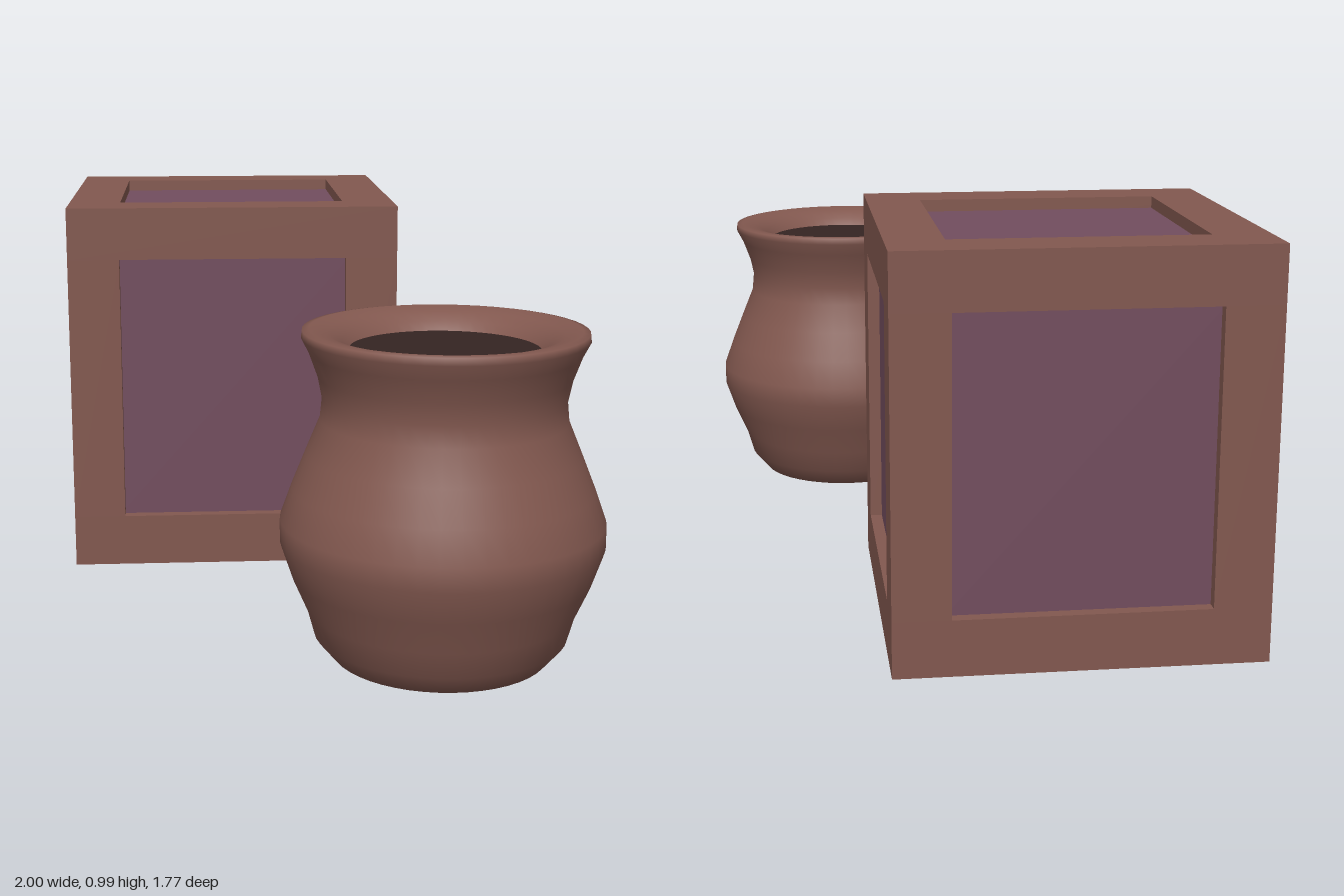
import * as THREE from 'three';

const wood = new THREE.MeshStandardMaterial({ color: 0x82584f });
wood.name = 'brown wood and clay';
const plum = new THREE.MeshStandardMaterial({ color: 0x724d5e });
plum.name = 'plum panel';
const dark = new THREE.MeshStandardMaterial({ color: 0x352422 });
dark.name = 'dark interior';

function box(parent, name, size, pos, material) {
  const mesh = new THREE.Mesh(new THREE.BoxGeometry(...size), material);
  mesh.position.set(...pos);
  mesh.name = name;
  parent.add(mesh);
}

// Crate: a frame of square beams around a recessed inner box
function createCrate() {
  const crate = new THREE.Group();
  crate.name = 'crate';
  const W = 0.885, H = 0.99, B = 0.138, recess = 0.03;
  const off = (W - B) / 2;

  box(crate, 'panels', [W - 2 * recess, H - 2 * recess, W - 2 * recess], [0, H / 2, 0], plum);

  for (const s of [-1, 1]) {
    for (const [level, y] of [['bottom', B / 2], ['top', H - B / 2]]) {
      box(crate, level + 'LongBeam', [W, B, B], [0, y, s * off], wood);
      box(crate, level + 'ShortBeam', [B, B, W - 2 * B], [s * off, y, 0], wood);
    }
    for (const t of [-1, 1]) {
      box(crate, 'cornerPost', [B, H - 2 * B, B], [s * off, H / 2, t * off], wood);
    }
  }
  crate.position.set(-0.395, 0, -0.282);
  crate.rotation.y = 0.54;
  return crate;
}

// Pot: turned body with a flared lip and a dark mouth
function createPot() {
  const pot = new THREE.Group();
  pot.name = 'pot';
  const profile = [
    [0, 0], [0.13, 0.002], [0.255, 0.025], [0.297, 0.075], [0.315, 0.14],
    [0.35, 0.22], [0.377, 0.3], [0.377, 0.355], [0.35, 0.43], [0.318, 0.51],
    [0.285, 0.59], [0.28, 0.64], [0.29, 0.69], [0.31, 0.745], [0.328, 0.78],
    [0.326, 0.797], [0.31, 0.8], [0.27, 0.79], [0.235, 0.772], [0.216, 0.745],
  ].map(([r, y]) => new THREE.Vector2(r, y));
  const body = new THREE.Mesh(new THREE.LatheGeometry(profile, 48), wood);
  body.name = 'potBody';
  pot.add(body);

  const mouth = new THREE.Mesh(new THREE.CircleGeometry(0.219, 48), dark);
  mouth.rotation.x = -Math.PI / 2;
  mouth.position.y = 0.752;
  mouth.name = 'potMouth';
  pot.add(mouth);

  pot.position.set(0.618, 0, 0.503);
  return pot;
}

export function createModel() {
  const model = new THREE.Group();
  model.name = 'crateAndPot';
  model.add(createCrate(), createPot());
  return model;
}
